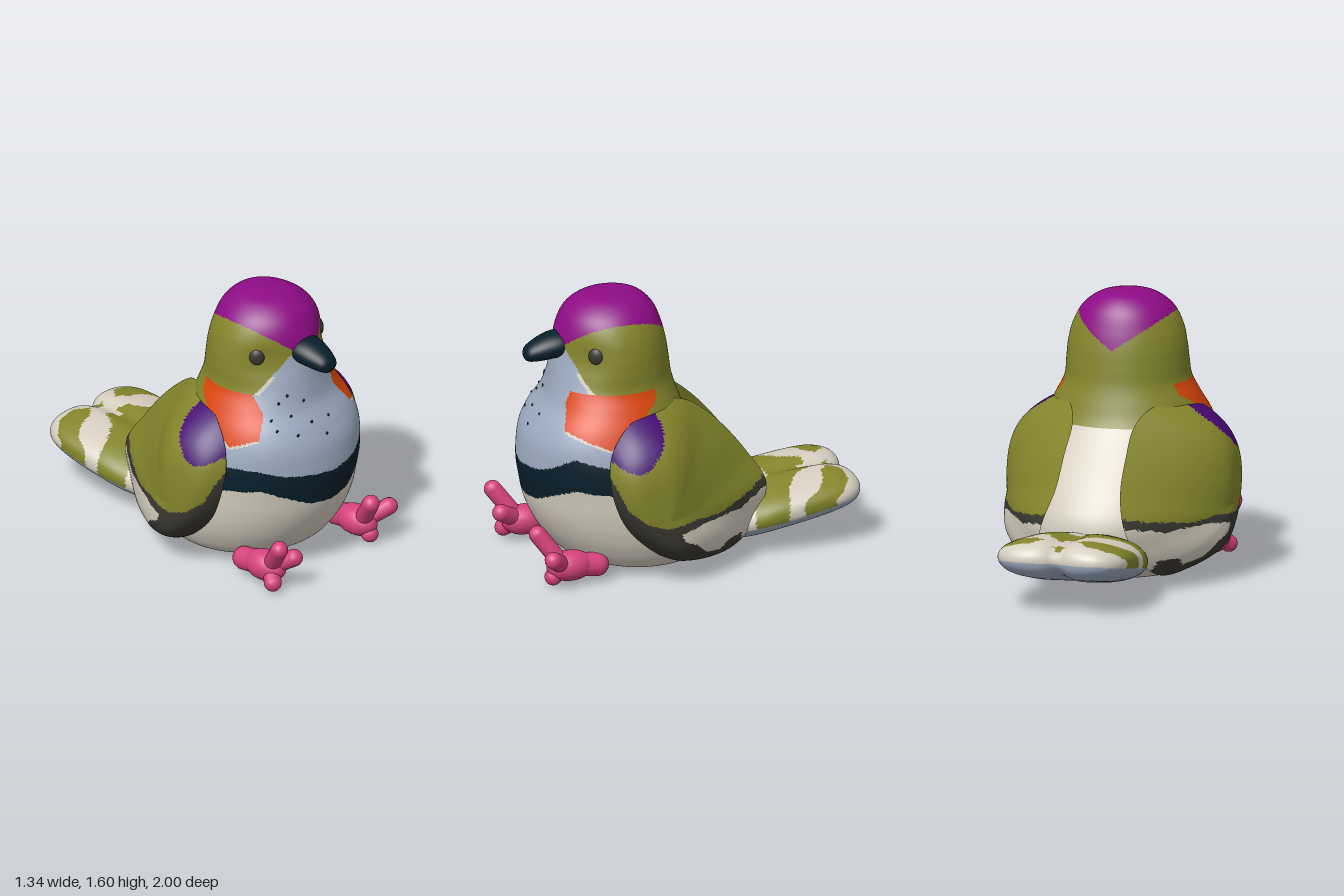
import * as THREE from 'three';

const mat = (name, color) => Object.assign(new THREE.MeshStandardMaterial({ color }), { name });
const M = {
  crown: mat('magenta crown', 0x8e0c86),
  violet: mat('violet shoulder', 0x470873),
  orange: mat('orange patch', 0xdb470a),
  olive: mat('olive green', 0x84852b),
  grey: mat('blue grey', 0x9dabc0),
  navy: mat('dark navy', 0x081f2a),
  cream: mat('cream', 0xd6cec0),
  brown: mat('dark brown', 0x3a3832),
  pink: mat('pink', 0xd5427d),
};

// Smooth interpolation through rows of numbers, t in 0..1
function spline(rows, closed = false) {
  const n = rows.length, segs = closed ? n : n - 1;
  const at = (i) => rows[closed ? (i + n) % n : Math.min(Math.max(i, 0), n - 1)];
  return (t) => {
    const i = Math.min(Math.floor(t * segs), segs - 1), f = t * segs - i;
    const [a, b, c, d] = [at(i - 1), at(i), at(i + 1), at(i + 2)];
    return b.map((_, k) => 0.5 * (2 * b[k] + (c[k] - a[k]) * f
      + (2 * a[k] - 5 * b[k] + 4 * c[k] - d[k]) * f * f
      + (3 * b[k] - a[k] - 3 * c[k] + d[k]) * f * f * f));
  };
}

// Piecewise-linear lookup in [x, y] pairs
function lookup(pts, x) {
  for (let i = 1; i < pts.length; i++) {
    const [x0, y0] = pts[i - 1], [x1, y1] = pts[i];
    if (x <= x1) return y0 + (y1 - y0) * (x - x0) / (x1 - x0);
  }
  return pts[pts.length - 1][1];
}

function inside(poly, x, y) {
  let hit = false;
  for (let i = 0, j = poly.length - 1; i < poly.length; j = i++) {
    const [xi, yi] = poly[i], [xj, yj] = poly[j];
    if ((yi > y) !== (yj > y) && x < (xj - xi) * (y - yi) / (yj - yi) + xi) hit = !hit;
  }
  return hit;
}

const bump = (x, centre, width) => Math.exp(-(((x - centre) / width) ** 2));

// Closed-ring surface; each face takes the material that rule(x, y, z) returns
function surface(name, nu, nv, fn, rule, flip = false) {
  const pos = [], buckets = new Map();
  for (let i = 0; i <= nu; i++) for (let j = 0; j < nv; j++) pos.push(...fn(i / nu, j / nv));
  const add = (a, b, c) => {
    const mid = [0, 1, 2].map((k) => (pos[a * 3 + k] + pos[b * 3 + k] + pos[c * 3 + k]) / 3);
    const m = rule(...mid);
    if (!buckets.has(m)) buckets.set(m, []);
    buckets.get(m).push(...(flip ? [a, c, b] : [a, b, c]));
  };
  for (let i = 0; i < nu; i++) for (let j = 0; j < nv; j++) {
    const k = (j + 1) % nv, a = i * nv + j, b = a + nv, c = (i + 1) * nv + k, d = i * nv + k;
    add(a, b, c);
    add(a, c, d);
  }
  const geo = new THREE.BufferGeometry(), index = [], mats = [];
  for (const [m, tris] of buckets) {
    geo.addGroup(index.length, tris.length, mats.length);
    for (const t of tris) index.push(t);
    mats.push(m);
  }
  geo.setAttribute('position', new THREE.Float32BufferAttribute(pos, 3));
  geo.setIndex(index);
  geo.computeVertexNormals();
  const mesh = new THREE.Mesh(geo, mats);
  mesh.name = name;
  return mesh;
}

// Body and head rings: y, half width, front z, back z
const bodyRing = spline([
  [1.6, 0, 0.4, 0.4], [1.592, 0.1, 0.51, 0.29], [1.565, 0.18, 0.6, 0.225], [1.5, 0.26, 0.68, 0.165],
  [1.4, 0.315, 0.73, 0.125], [1.3, 0.34, 0.75, 0.1], [1.2, 0.35, 0.765, 0.085], [1.1, 0.36, 0.78, 0.07],
  [1.0, 0.41, 0.805, 0.04], [0.9, 0.46, 0.87, 0.0], [0.8, 0.5, 0.92, -0.07], [0.7, 0.53, 0.94, -0.15],
  [0.6, 0.545, 0.945, -0.23], [0.5, 0.55, 0.93, -0.3], [0.4, 0.55, 0.91, -0.35], [0.3, 0.54, 0.87, -0.36],
  [0.2, 0.51, 0.81, -0.32], [0.1, 0.45, 0.72, -0.22], [0.04, 0.355, 0.6, -0.08], [0.012, 0.21, 0.46, 0.08],
  [0.004, 0, 0.25, 0.25],
]);
// The face is flattened a little around the eyes, the chest squared a little
function bodyPoint(u, v) {
  const [y, rx, zf, zb] = bodyRing(u), a = v * Math.PI * 2, c = Math.cos(a);
  const k = c > 0 ? 1 + Math.sin(2 * a) ** 2 * (0.04 * bump(y, 0.9, 0.2) - 0.09 * bump(y, 1.28, 0.13)) : 1;
  return [k * rx * Math.sin(a), y, (zf + zb) / 2 + k * (zf - zb) / 2 * c];
}
const bandTop = { 1: [[0, 0.63], [0.2, 0.65], [0.3, 0.69], [0.4, 0.76], [0.55, 0.7]], [-1]: [[0, 0.63], [0.3, 0.66], [0.42, 0.7], [0.55, 0.71]] };
const bandLow = [[0, 0.435], [0.15, 0.455], [0.25, 0.5], [0.4, 0.57], [0.55, 0.55]];

function bodyColour(x, y, z) {
  const ax = Math.abs(x), s = x < 0 ? -1 : 1;
  if (y > (z > 0.4 ? 1.26 + 0.82 * ax : 1.3 + 0.67 * ax)) return M.crown;
  if (y > 1.1) {
    const throat = 0.1 + (1.33 - y) * 0.9;
    if (z < 0.5 || ax > throat) return M.olive;
    return y < 1.2 && ax > throat - 0.02 ? M.cream : M.grey;
  }
  if (z < 0.26) return y > 0.88 ? M.olive : M.cream;
  const edge = s > 0 ? 0.2 + Math.max(0, 1.03 - y) * 0.75 : 0.31 + Math.max(0, 1 - y) * 0.6;
  const low = z < 0.58 ? 1.04 - 0.69 * (z - 0.26) : 0.82 + (z - 0.58) * 0.4;
  if (ax > edge && y > low) return M.orange;
  if (z < 0.45 && y > 0.75) return M.olive;
  if (ax > edge && y > low - 0.015) return M.cream;
  if (y > lookup(bandTop[s], ax)) return M.grey;
  return y > lookup(bandLow, ax) && z > 0.4 ? M.navy : M.cream;
}

// Wing rim, front edge downward and round: z, y, x, fullness
const wingRim = spline([
  [0.45, 0.95, 0.44, 4.2], [0.56, 0.84, 0.49, 4.3], [0.6, 0.7, 0.52, 4.2], [0.58, 0.54, 0.54, 4], [0.51, 0.38, 0.53, 4.3],
  [0.4, 0.25, 0.52, 4.8], [0.25, 0.14, 0.5, 5], [0.1, 0.09, 0.46, 4], [-0.1, 0.08, 0.39, 2.6], [-0.25, 0.13, 0.34, 2],
  [-0.36, 0.24, 0.29, 1.65], [-0.435, 0.41, 0.24, 1.5], [-0.34, 0.585, 0.19, 1.65], [-0.2, 0.765, 0.18, 1.9],
  [-0.05, 0.905, 0.18, 2.3], [0.1, 0.99, 0.24, 3], [0.28, 1.0, 0.35, 4],
], true);
const wingOlive = [[0.62, 0.75], [0.59, 0.66], [0.52, 0.5], [0.42, 0.42], [0.3, 0.38], [0.1, 0.4], [-0.05, 0.38], [-0.15, 0.4], [-0.3, 0.42], [-0.46, 0.47], [-0.4, 1.1], [0.62, 1.1]];
const wingCream = [[0.22, 0.34], [0.05, 0.36], [-0.1, 0.36], [-0.2, 0.35], [-0.46, 0.41], [-0.45, 0.2], [-0.25, 0.1], [-0.24, 0.19], [-0.12, 0.19], [-0.08, 0.14], [0.03, 0.17], [0.12, 0.25], [0.2, 0.29]];
const wingViolet = [[0.28, 0.98], [0.27, 0.92], [0.3, 0.85], [0.37, 0.765], [0.45, 0.715], [0.53, 0.735], [0.61, 0.79], [0.57, 0.86], [0.46, 0.96], [0.36, 0.99]];

function wingColour(x, y, z) {
  if (inside(wingViolet, z, y)) return M.violet;
  if (inside(wingOlive, z, y)) return M.olive;
  return inside(wingCream, z, y) ? M.cream : M.brown;
}

function wingPoint(s, u, v) {
  const [z, y, x, p] = wingRim(v), outer = u <= 0.6;
  const r = outer ? Math.sin((u / 0.6) * Math.PI / 2) : (1 - u) / 0.4;
  const px = outer ? x + (0.668 - x) * (1 - r ** p) : x + (0.42 - x) * (1 - r * r);
  return [s * px, 0.43 + (y - 0.43) * r, 0.3 + (z - 0.3) * r];
}

// Tail: one broad slab, its end split into two rounded lobes
const tailSection = spline([[0.2, 0.09], [0.31, 0.135], [0.365, 0.143], [0.383, 0.135], [0.386, 0.125], [0.38, 0.118]]);
const tailHeight = [[-1, 0.31], [-0.85, 0.298], [-0.7, 0.275], [-0.5, 0.243], [-0.3, 0.2], [-0.1, 0.14]];
function tailPoint(u, v) {
  const a = v * Math.PI * 2, ca = Math.cos(a), sa = Math.sin(a);
  const c = Math.sign(ca) * Math.abs(ca) ** 0.85, sy = Math.sign(sa) * Math.abs(sa) ** 0.8;
  const t = Math.sin(u * Math.PI / 2), [w, h] = tailSection(t);
  const off = Math.abs(c) - 0.47, lobe = off < 0 ? -off / 0.6 : off / 0.53;
  const end = -0.78 - 0.22 * Math.sqrt(Math.max(0, 1 - lobe ** 2.4));
  const z = -0.1 + (end + 0.1) * t;
  const dip = 1 - 0.3 * t * bump(c, 0, 0.16);
  return [w * c, lookup(tailHeight, z) + h * dip * Math.sqrt(Math.max(0, 1 - t ** 12)) * sy, z];
}
const tailSpots = [
  [[0.1, -0.84], [0.16, -0.91], [0.28, -0.91], [0.36, -0.85], [0.4, -0.75], [0.4, -0.6], [0.37, -0.63], [0.33, -0.72], [0.25, -0.77], [0.16, -0.79]],
  [[-0.01, -0.62], [0.02, -0.76], [0.08, -0.74], [0.14, -0.64], [0.25, -0.57], [0.4, -0.52], [0.4, -0.33], [0.16, -0.36], [0.08, -0.5], [-0.01, -0.52]],
];
function tailColour(x, y, z) {
  const ax = Math.abs(x);
  if (y < 0.125 + 0.2 * (-z - 0.1)) return M.grey;
  return tailSpots.some((p) => inside(p, ax, z)) || Math.hypot(x, z + 0.88) < 0.03 ? M.olive : M.cream;
}

// Beak sections: z, centre y, half width, half height
const beakRing = spline([[0.66, 1.32, 0.1, 0.07], [0.73, 1.318, 0.106, 0.075], [0.8, 1.306, 0.096, 0.072],
  [0.87, 1.288, 0.075, 0.058], [0.915, 1.276, 0.05, 0.038], [0.932, 1.272, 0, 0]]);

function limb(name, from, to, radius) {
  const a = new THREE.Vector3(...from), b = new THREE.Vector3(...to), d = b.clone().sub(a);
  const mesh = new THREE.Mesh(new THREE.CapsuleGeometry(radius, d.length(), 7, 14), M.pink);
  mesh.position.copy(a).add(b).multiplyScalar(0.5);
  mesh.quaternion.setFromUnitVectors(new THREE.Vector3(0, 1, 0), d.normalize());
  mesh.name = name;
  return mesh;
}

function ball(name, material, position, scale) {
  const mesh = new THREE.Mesh(new THREE.SphereGeometry(1, 16, 12), material);
  mesh.position.set(...position);
  mesh.scale.set(...scale);
  mesh.name = name;
  return mesh;
}

export function createModel() {
  const bird = new THREE.Group();
  bird.name = 'bird';
  bird.add(surface('body', 200, 220, bodyPoint, bodyColour));
  bird.add(surface('tail', 60, 110, tailPoint, tailColour));
  bird.add(surface('beak', 20, 28, (u, v) => {
    const [z, cy, w, h] = beakRing(u), a = v * Math.PI * 2;
    return [w * Math.cos(a), cy - h * Math.sin(a), z];
  }, () => M.navy));

  for (const s of [1, -1]) {
    const side = s > 0 ? 'left' : 'right';
    bird.add(surface(side + 'Wing', 60, 120, (u, v) => wingPoint(s, u, v), wingColour, s < 0));
    const eye = ball(side + 'Eye', M.brown, [s * 0.252, 1.31, 0.585], [0.046, 0.052, 0.03]);
    eye.rotation.y = s * 0.85;
    bird.add(eye);
  }

  // Feet: hub, then toe tips
  const feet = {
    left: [[0.36, 0.12, 0.82], [0.295, 0.3, 0.95], [0.475, 0.205, 0.92], [0.36, 0.06, 0.88]],
    right: [[-0.39, 0.12, 0.82], [-0.455, 0.295, 0.95], [-0.33, 0.195, 0.945], [-0.445, 0.06, 0.89]],
  };
  for (const [side, [hub, ...toes]] of Object.entries(feet)) {
    const foot = new THREE.Group();
    foot.name = side + 'Foot';
    foot.add(limb('leg', [hub[0], 0.1, 0.62], [hub[0], 0.12, 0.78], 0.068));
    foot.add(ball('footPad', M.pink, [hub[0], 0.115, 0.78], [0.09, 0.088, 0.14]));
    for (const tip of toes) foot.add(limb('toe', hub, tip, 0.05));
    bird.add(foot);
  }

  // Small chest speckles set on the ring surface
  const spots = [[-0.22, 1.055], [-0.17, 1.09], [-0.28, 0.975], [-0.28, 0.92], [-0.18, 0.98], [-0.19, 0.885], [-0.08, 1.04], [-0.08, 0.93], [-0.01, 0.85], [0.05, 0.925]];
  for (const [x, y] of spots) {
    let t = 0.3;
    while (bodyRing(t)[0] > y) t += 0.002;
    const spot = bodyPoint(t, Math.asin(x / bodyRing(t)[1]) / (2 * Math.PI));
    bird.add(ball('chestSpeckle', M.navy, spot, [0.009, 0.009, 0.005]));
  }
  return bird;
}
